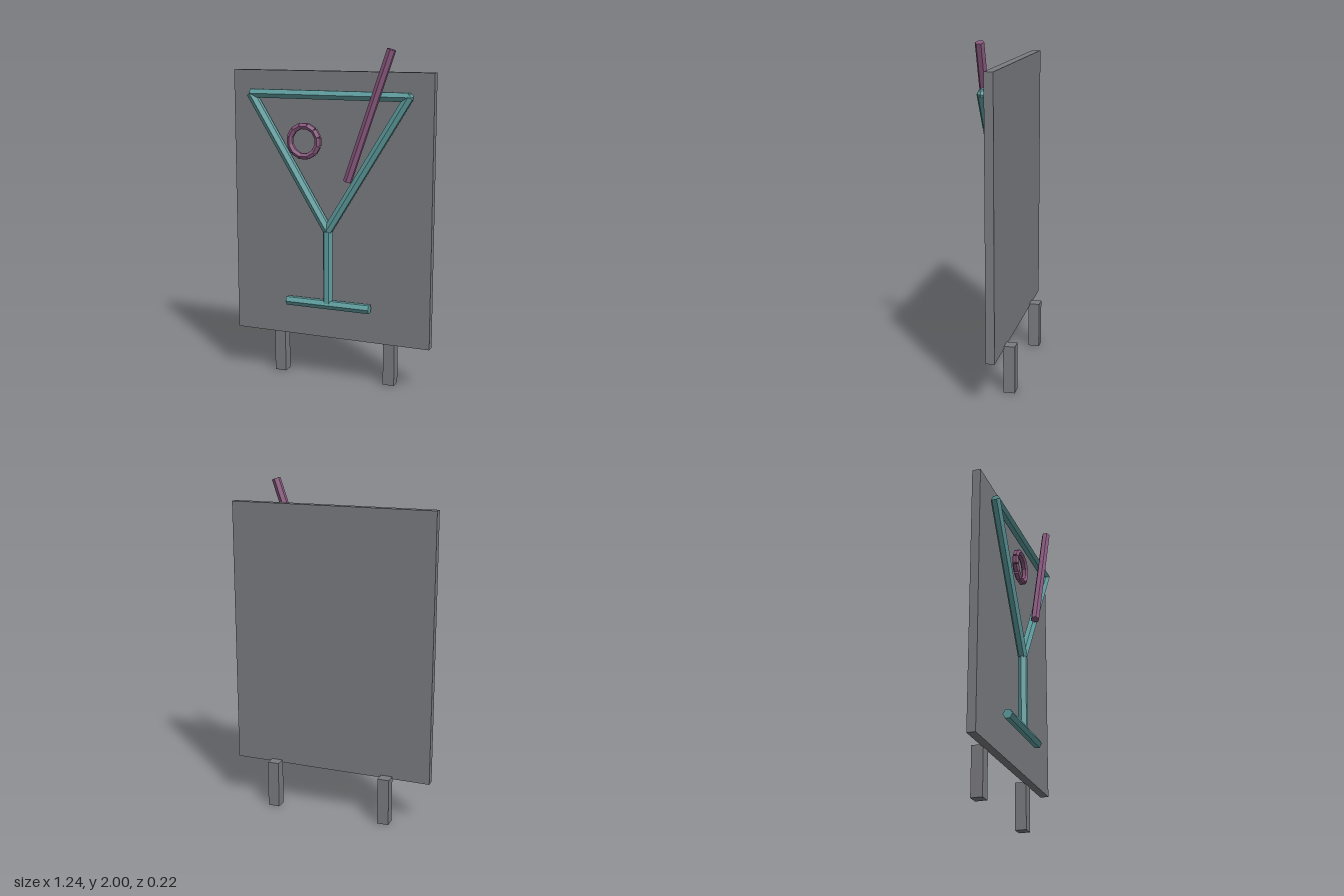
import * as THREE from 'three';

const flat = (name, color) => {
  const m = new THREE.MeshStandardMaterial({ color });
  m.name = name;
  m.flatShading = true;
  return m;
};

export function createModel() {
  const group = new THREE.Group();
  const grey = flat('board grey', 0x7b7c80);
  const teal = flat('tube teal', 0x5f9ea0);
  const mauve = flat('tube mauve', 0x8b5a80);

  const add = (name, geometry, material, x, y, z, parent = group) => {
    const mesh = new THREE.Mesh(geometry, material);
    mesh.name = name;
    mesh.position.set(x, y, z);
    parent.add(mesh);
    return mesh;
  };

  // Six-sided tube between two points in a plane of constant z
  const tube = (name, material, r, z, [x1, y1], [x2, y2], turn = 0, parent = group) => {
    const geometry = new THREE.CylinderGeometry(r, r, Math.hypot(x2 - x1, y2 - y1), 6);
    geometry.rotateY(turn);
    const mesh = add(name, geometry, material, (x1 + x2) / 2, (y1 + y2) / 2, z, parent);
    mesh.rotation.z = Math.atan2(y2 - y1, x2 - x1) - Math.PI / 2;
    return mesh;
  };

  // Board and its two rear legs
  add('board', new THREE.BoxGeometry(1.235, 1.595, 0.05), grey, 0, 1.0675, -0.022);
  for (const side of [-1, 1]) {
    add('leg', new THREE.BoxGeometry(0.07, 0.285, 0.068), grey, side * 0.355, 0.1425, -0.076);
  }

  // Glass outline
  const r = 0.029, z = 0.047;
  tube('glassRim', teal, r, z, [-0.485, 1.731], [0.485, 1.731]);
  for (const side of [-1, 1]) {
    tube('glassSide', teal, r, z, [side * 0.485, 1.731], [0, 0.942]);
  }
  const corner = new THREE.SphereGeometry(r * 0.95, 6, 4);
  add('rimCorner', corner, teal, 0.485, 1.731, z);
  tube('glassStem', teal, r, z, [0, 0.5], [0, 0.935], Math.PI / 6);
  tube('glassBase', teal, r, z, [-0.263, 0.49], [0.263, 0.49]);

  // Straw
  tube('straw', mauve, 0.026, 0.082, [0.135, 1.245], [0.392, 1.992]);

  // Ring of short straight tubes
  const ring = new THREE.Group();
  ring.name = 'oliveRing';
  ring.position.set(-0.135, 1.465, 0);
  group.add(ring);
  const count = 12, radius = 0.087, half = radius * Math.tan(Math.PI / count);
  for (let i = 0; i < count; i++) {
    const a = (i / count) * Math.PI * 2;
    const c = Math.cos(a), s = Math.sin(a);
    tube('ringSegment', mauve, 0.02, 0.079,
      [radius * c + half * s, radius * s - half * c],
      [radius * c - half * s, radius * s + half * c], 0, ring);
  }

  return group;
}
